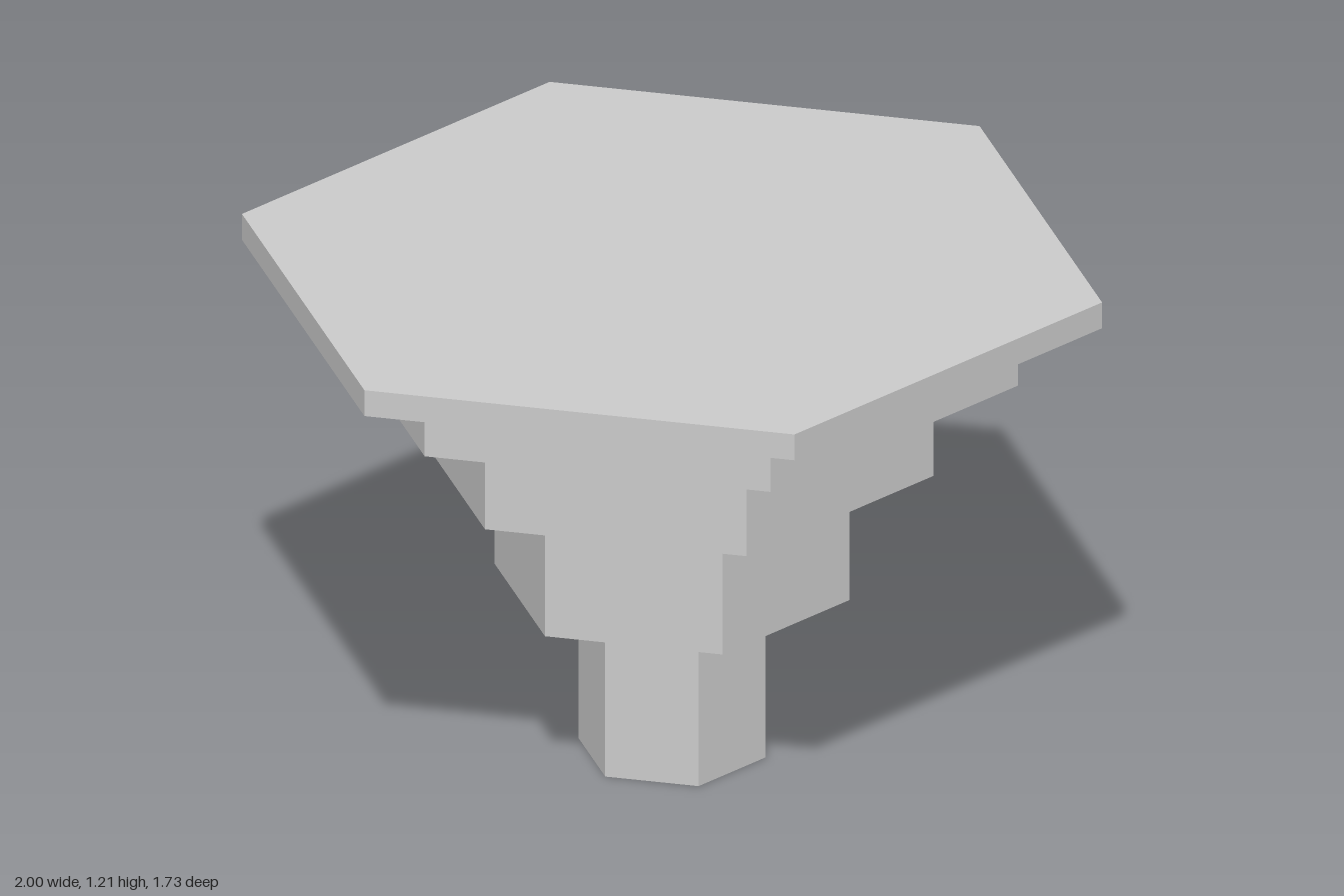
import * as THREE from 'three';

// Stepped hexagonal pedestal: each tier is wider and thinner than the one below.
export function createModel() {
  const group = new THREE.Group();
  group.name = 'steppedHexPedestal';
  const material = new THREE.MeshStandardMaterial({ color: 0xcccccc, flatShading: true });

  // name, corner radius, bottom, top
  const tiers = [
    ['stem', 0.217, 0, 0.412],
    ['lowerTier', 0.413, 0.412, 0.741],
    ['middleTier', 0.608, 0.741, 0.986],
    ['upperTier', 0.804, 0.986, 1.15],
    ['topSlab', 1, 1.15, 1.214],
  ];

  for (const [name, radius, bottom, top] of tiers) {
    // Start angle puts two corners on the x axis and a flat side at the front
    const geometry = new THREE.CylinderGeometry(radius, radius, top - bottom, 6, 1, false, Math.PI / 6);
    const tier = new THREE.Mesh(geometry, material);
    tier.name = name;
    tier.position.y = (bottom + top) / 2;
    group.add(tier);
  }
  return group;
}
